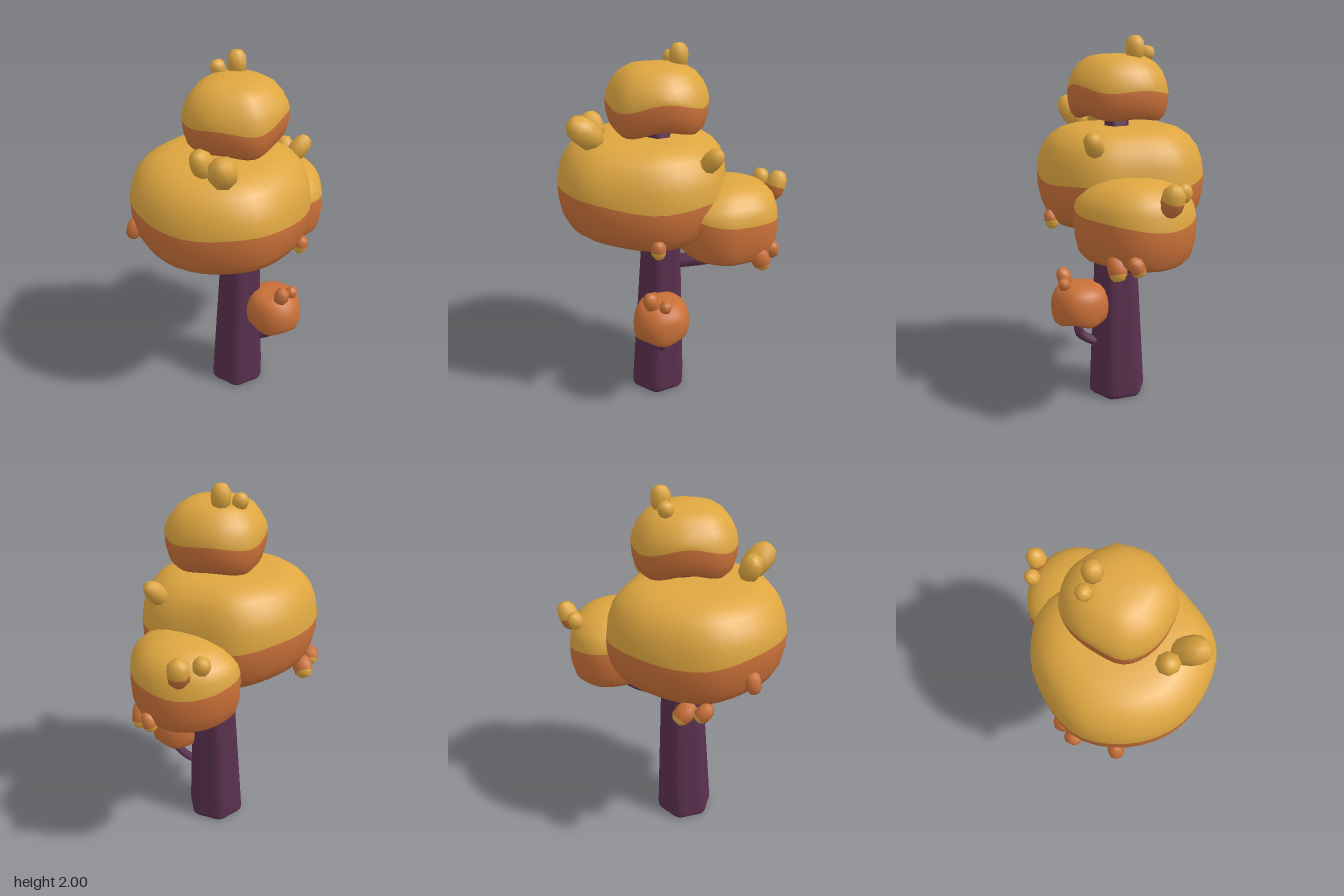
import * as THREE from 'three';
import { mergeVertices } from 'three/addons/utils/BufferGeometryUtils.js';

const material = (name, color) => {
  const m = new THREE.MeshStandardMaterial({ color });
  m.name = name;
  return m;
};

// Closed loft: polar outline (radii at equal angles) scaled by profile rows [scale, y, waveWeight], top to bottom.
function loft(radii, rows, { x = 0, z = 0, turn = 0, wave = () => 0, drift = () => 0, split = 0 } = {}) {
  const n = 40, pos = [], index = [];
  const outline = new THREE.CatmullRomCurve3(radii.map((r, i) => {
    const a = turn + (i / radii.length) * Math.PI * 2;
    return new THREE.Vector3(r * Math.cos(a), 0, r * Math.sin(a));
  }), true, 'catmullrom', 0.5);
  for (const [s, y, w = 0] of rows) {
    for (let j = 0; j < n; j++) {
      const p = outline.getPoint(j / n);
      pos.push(x + drift(y) + p.x * s, y + w * wave(Math.atan2(p.z, p.x)), z + p.z * s);
    }
  }
  for (let r = 0; r < rows.length - 1; r++) {
    for (let j = 0; j < n; j++) {
      const a = r * n + j, c = r * n + (j + 1) % n;
      index.push(a, c, a + n, c, c + n, a + n);
    }
  }
  let g = new THREE.BufferGeometry();
  g.setAttribute('position', new THREE.Float32BufferAttribute(pos, 3));
  g.setIndex(index);
  g = mergeVertices(g, 1e-5);
  g.computeVertexNormals();
  if (split) {
    g.addGroup(0, split * n * 6, 0);
    g.addGroup(split * n * 6, Infinity, 1);
  }
  return g;
}

// Rounded stub; bands = [upper count] in sphere indices when two-coloured.
function stubGeometry(r, half, split) {
  let g = new THREE.SphereGeometry(1, 8, 6);
  g.deleteAttribute('uv');
  g.deleteAttribute('normal');
  const p = g.attributes.position, v = new THREE.Vector3();
  for (let i = 0; i < p.count; i++) {
    v.fromBufferAttribute(p, i);
    const k = Math.pow(Math.hypot(v.x, v.z) ** 2.7 + Math.abs(v.y) ** 2.7, -1 / 2.7);
    p.setXYZ(i, v.x * k * r, v.y * k * half, v.z * k * r);
  }
  g.clearGroups();
  g = mergeVertices(g, 1e-5);
  g.computeVertexNormals();
  if (split) {
    g.addGroup(0, split, 0);
    g.addGroup(split, 240 - split, 1);
  }
  return g;
}

export function createModel() {
  const group = new THREE.Group();
  group.name = 'tree';
  const gold = material('gold leaves', 0xdea640);
  const orange = material('orange leaves', 0xc97038);
  const bark = material('purple bark', 0x5a304e);
  const add = (name, geometry, mat) => {
    const m = new THREE.Mesh(geometry, mat);
    m.name = name;
    group.add(m);
    return m;
  };

  // Trunk: rounded hexagon that tapers upwards
  const hex = Array.from({ length: 12 }, (_, i) => (i % 2 ? 0.146 : 0.163));
  add('trunk', loft(hex, [
    [0, 1.64], [0.4, 1.64], [0.42, 1.45], [0.6, 1.2], [0.68, 1.05], [0.73, 0.9],
    [0.79, 0.7], [0.87, 0.45], [0.95, 0.2], [1, 0.03], [0.99, 0.012], [0.94, 0], [0, 0],
  ], { turn: -0.09, drift: (y) => (y < 1.05 ? -0.005 + 0.022 * y : 0.018 - 0.04 * (y - 1.05)) }), bark);

  // Branches
  const branch = (name, r, pts) => {
    const curve = new THREE.CatmullRomCurve3(pts.map((p) => new THREE.Vector3(...p)), false, 'catmullrom', 0.3);
    add(name, new THREE.TubeGeometry(curve, 14, r, 6, false), bark);
  };
  branch('rightBranch', 0.043, [[0, 0.91, 0], [-0.12, 0.91, 0.07], [-0.21, 0.93, 0.13], [-0.245, 1.0, 0.15], [-0.25, 1.14, 0.15]]);
  branch('leftBranch', 0.045, [[0.02, 0.8, -0.02], [0.14, 0.82, -0.1], [0.24, 0.845, -0.17], [0.275, 0.9, -0.195], [0.28, 1.05, -0.2]]);
  branch('smallBranch', 0.026, [[0.06, 0.31, 0.07], [0.115, 0.34, 0.12], [0.16, 0.4, 0.17], [0.166, 0.56, 0.18]]);

  // Large middle crown
  add('middleCrown', loft(
    [0.475, 0.465, 0.45, 0.48, 0.465, 0.47, 0.475, 0.48, 0.455, 0.465, 0.48, 0.44],
    [[0, 1.54], [0.3, 1.54], [0.55, 1.535], [0.7, 1.515], [0.82, 1.48], [0.91, 1.43], [0.97, 1.36, 0.4],
      [1, 1.275, 1], [0.995, 1.2, 0.7], [0.96, 1.12, 0.6], [0.9, 1.065, 0.6], [0.82, 1.035, 0.6],
      [0.74, 1.03, 0.6], [0.62, 1.06, 0.4], [0.4, 1.11], [0, 1.13]],
    { x: -0.095, z: 0.01, split: 7,
      wave: (a) => -0.02 * Math.cos(a) + 0.015 * Math.sin(a) + 0.014 * Math.cos(4 * a) },
  ), [gold, orange]);

  // Lower side crown
  add('sideCrown', loft(
    [0.255, 0.25, 0.28, 0.305, 0.3, 0.28, 0.26, 0.29, 0.32, 0.305, 0.28, 0.265],
    [[0, 1.32], [0.3, 1.315], [0.52, 1.3], [0.72, 1.275], [0.87, 1.235], [0.95, 1.2, 0.5],
      [0.99, 1.155, 1], [1, 1.09, 0.7], [0.985, 1.02, 0.4], [0.93, 0.955, 0.4], [0.85, 0.93, 0.4],
      [0.74, 0.935, 0.4], [0.55, 0.98, 0.2], [0, 1.03]],
    { x: 0.33, z: -0.185, split: 6,
      wave: (a) => -0.025 * Math.cos(a) + 0.03 * Math.sin(a) + 0.01 * Math.cos(3 * a) },
  ), [gold, orange]);

  // Top crown
  add('topCrown', loft(
    [0.275, 0.265, 0.255, 0.27, 0.255, 0.265, 0.275, 0.255, 0.26, 0.28, 0.28, 0.27],
    [[0, 1.91], [0.3, 1.907], [0.55, 1.895], [0.74, 1.865], [0.88, 1.82], [0.96, 1.775, 0.5],
      [1, 1.73, 1], [0.985, 1.67, 0.8], [0.93, 1.615, 0.8], [0.84, 1.59, 0.8], [0.74, 1.585, 0.7],
      [0.6, 1.6, 0.4], [0.35, 1.625], [0, 1.63]],
    { x: -0.015, z: 0.005, split: 6, wave: (a) => 0.015 * Math.sin(2 * a + 0.5) - 0.015 * Math.cos(4 * a + 0.4) },
  ), [gold, orange]);

  // Small front crown
  add('smallCrown', loft(
    [0.155, 0.152, 0.16, 0.162, 0.158, 0.15, 0.155, 0.158, 0.165, 0.163, 0.155, 0.152],
    [[0, 0.685], [0.4, 0.683], [0.68, 0.675], [0.85, 0.65], [0.96, 0.61], [1, 0.565, 0.5],
      [0.985, 0.52, 1], [0.93, 0.487, 1], [0.84, 0.475, 1], [0.74, 0.478, 1], [0.5, 0.51], [0, 0.52]],
    { x: 0.153, z: 0.165, wave: (a) => 0.01 * Math.cos(4 * a + 0.3) },
  ), orange);

  // Leaf stubs: name, position, radius, half length, direction, materials, split
  const two = [gold, orange], tip = [orange, gold];
  const stubs = [
    ['topStubLarge', [0.04, 1.935, -0.11], 0.05, 0.065, [0, 1, 0], gold],
    ['topStubSmall', [-0.045, 1.91, -0.15], 0.04, 0.04, [-0.2, 1, -0.3], gold],
    ['frontStubLarge', [-0.21, 1.585, 0.325], 0.073, 0.105, [-0.3, 0.8, 0.75], gold],
    ['frontStubSmall', [-0.27, 1.59, 0.21], 0.058, 0.075, [-0.35, 1, 0.1], gold],
    ['leftStub', [0.345, 1.475, 0.01], 0.05, 0.075, [0.75, 0.8, 0], gold],
    ['frontLowStub', [0.235, 1.06, 0.29], 0.038, 0.052, [0.1, 1, 0.15], tip, 120],
    ['rightStub', [-0.56, 1.16, -0.045], 0.042, 0.06, [-0.35, -1, 0], orange],
    ['backLowStubLarge', [-0.365, 1.0, -0.31], 0.052, 0.065, [-0.2, 0.6, 0.6], tip, 168],
    ['backLowStubSmall', [-0.455, 1.025, -0.265], 0.043, 0.052, [-0.3, 0.6, 0.5], tip, 168],
    ['sideStubLarge', [0.475, 1.255, -0.415], 0.057, 0.08, [0.15, 1, -0.25], two, 120],
    ['sideStubSmall', [0.365, 1.27, -0.44], 0.044, 0.048, [0, 1, -0.4], gold],
    ['sideLowStubLarge', [0.55, 0.935, -0.17], 0.05, 0.07, [-0.3, 0.9, 0.25], tip, 168],
    ['sideLowStubSmall', [0.56, 0.95, -0.27], 0.04, 0.052, [0.1, 0.9, 0.4], tip, 168],
    ['smallCrownStubLarge', [0.155, 0.71, 0.255], 0.042, 0.058, [0, 1, 0.35], orange],
    ['smallCrownStubSmall', [0.23, 0.695, 0.225], 0.034, 0.036, [0.3, 1, 0.2], orange],
  ];
  for (const [name, p, r, half, dir, mat, split] of stubs) {
    const m = add(name, stubGeometry(r, half, split), mat);
    m.position.set(...p);
    m.quaternion.setFromUnitVectors(new THREE.Vector3(0, 1, 0), new THREE.Vector3(...dir).normalize());
  }
  return group;
}
